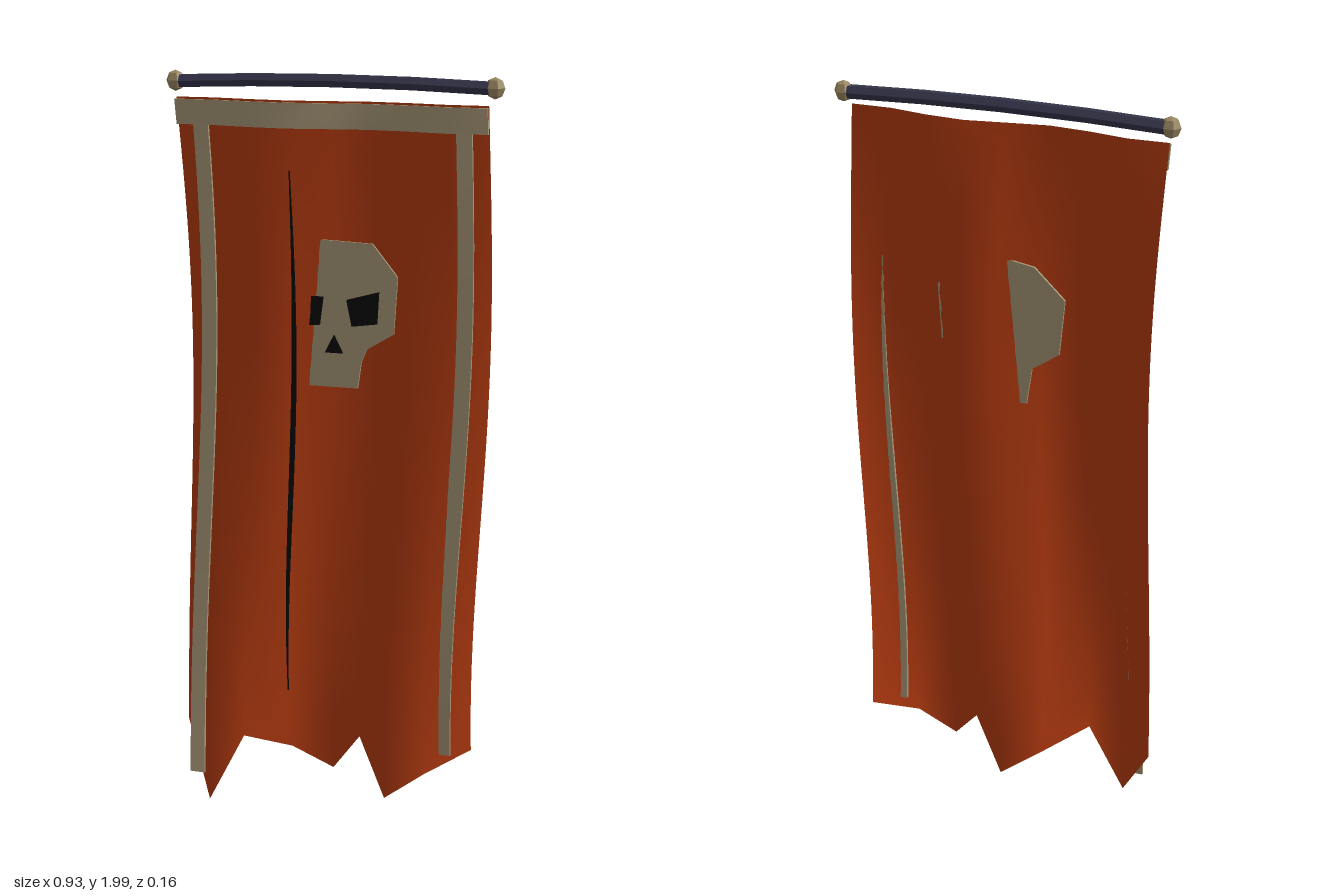
import * as THREE from 'three';

const COLS = 8;
const TOP = 1.93;
// Height of the ragged hem at each column
const HEM = [0.2, 0.01, 0.2, 0.15, 0.085, 0.21, 0.08, 0.15, 0.2];

const mat = (name, color, side = THREE.FrontSide) => {
  const m = new THREE.MeshStandardMaterial({ color, side });
  m.name = name;
  return m;
};

// Sideways sway of the cloth; u runs 0..8 from the model's right to its left
function clothX(u, y) {
  const half = 0.409 + 0.0135 * y;
  const sway = 0.019 * Math.sin((2 * Math.PI * (TOP - y)) / 2.2);
  return sway + half * (u / 4 - 1);
}

// Folds deepen and drift sideways toward the hem
function foldZ(x, y) {
  const depth = 0.018 + 0.036 * (TOP - y);
  const valley = -0.045 + 0.09 * y;
  return -depth * Math.cos((2 * Math.PI * (x - valley)) / 0.5);
}

// Depth of the cloth between two neighbouring columns
function clothZ(u, y) {
  const i = Math.min(COLS - 1, Math.max(0, Math.floor(u)));
  return THREE.MathUtils.lerp(foldZ(clothX(i, y), y), foldZ(clothX(i + 1, y), y), u - i);
}

// Move every vertex of a geometry by a rule
function reshape(geo, rule) {
  const p = geo.attributes.position;
  for (let i = 0; i < p.count; i++) p.setXYZ(i, ...rule(p.getX(i), p.getY(i), p.getZ(i)));
  geo.computeVertexNormals();
  return geo;
}

// Vertical strip hanging along one column line of the cloth
function hangingStrip(u, yTop, yBottom, width, offset, thickness) {
  return reshape(new THREE.BoxGeometry(1, 1, thickness, 1, 28, 1), (x, v, z) => {
    const t = 0.5 - v;
    const y = THREE.MathUtils.lerp(yTop, yBottom, t);
    return [clothX(u, y) + x * width(t), y, clothZ(u, y) + offset(t) + z];
  });
}

// Flat plate cut from an outline
function plate(points, z, depth) {
  const shape = new THREE.Shape(points.map(([x, y]) => new THREE.Vector2(x, y)));
  const geo = new THREE.ExtrudeGeometry(shape, { depth, bevelEnabled: false });
  return geo.translate(0, 0, z);
}

export function createModel() {
  const group = new THREE.Group();
  const red = mat('red cloth', 0xb33a10, THREE.DoubleSide);
  const bone = mat('bone trim', 0xa59576);
  const black = mat('black', 0x0a0a0a);
  const iron = mat('dark iron', 0x34344a);
  const brass = mat('dull brass', 0x98855f);

  const add = (name, geo, material) => {
    const mesh = new THREE.Mesh(geo, material);
    mesh.name = name;
    group.add(mesh);
    return mesh;
  };

  // Hanging cloth with a ragged hem
  add('cloth', reshape(new THREE.PlaneGeometry(COLS, 1, COLS, 28), (x, v) => {
    const u = x + COLS / 2;
    const y = THREE.MathUtils.lerp(TOP, HEM[Math.round(u)], 0.5 - v);
    return [clothX(u, y), y, clothZ(u, y)];
  }), red);

  // Trim: band along the top and a stripe down each side
  add('topBand', reshape(new THREE.BoxGeometry(COLS, 0.066, 0.008, COLS, 1, 1), (x, v, z) => {
    const u = x + COLS / 2;
    const y = 1.892 + v;
    return [clothX(u, y), y, clothZ(u, y) + 0.011 + z];
  }), bone);
  add('rightStripe', hangingStrip(0.63, 1.87, 0.08, () => 0.042, (t) => 0.01 + 0.015 * t, 0.008), bone);
  add('leftStripe', hangingStrip(7.42, 1.87, 0.2, () => 0.042, (t) => 0.01 - 0.004 * t, 0.008), bone);

  // Narrow dark line along a fold
  add('foldLine', hangingStrip(3, 1.75, 0.32,
    (t) => 0.002 + 0.012 * Math.sin(Math.PI * t), () => 0.008, 0.004), black);

  // Skull emblem, half sunk in the folds
  add('skull', plate([
    [-0.08, 1.56], [-0.165, 1.48], [-0.15, 1.33], [-0.075, 1.28], [-0.06, 1.18],
    [0.08, 1.18], [0.09, 1.25], [0.105, 1.285], [0.18, 1.33], [0.19, 1.48], [0.12, 1.565], [-0.02, 1.57],
  ], -0.009, 0.007), bone);
  const face = [
    ['leftEye', [[0.05, 1.415], [0.065, 1.345], [0.135, 1.355], [0.14, 1.44]]],
    ['rightEye', [[-0.015, 1.42], [-0.1, 1.42], [-0.1, 1.34], [-0.025, 1.345]]],
    ['nose', [[0.015, 1.32], [-0.01, 1.272], [0.04, 1.272]]],
  ];
  for (const [name, points] of face) add(name, plate(points, -0.003, 0.006), black);

  // Six-sided rod, bowed slightly upward
  const rod = new THREE.CylinderGeometry(0.019, 0.019, 0.88, 6, 4).rotateZ(Math.PI / 2);
  const rodMat = iron.clone();
  rodMat.name = 'dark iron rod';
  rodMat.flatShading = true;
  add('rod', reshape(rod, (x, y, z) => [x, y + 1.971 + 0.01 * (1 - (x / 0.44) ** 2), z - 0.021]), rodMat);

  // Faceted knobs on both ends
  brass.flatShading = true;
  for (const side of [-1, 1]) {
    const knob = add(side > 0 ? 'leftKnob' : 'rightKnob', new THREE.SphereGeometry(0.028, 6, 4), brass);
    knob.scale.set(0.95, 1, 0.85);
    knob.position.set(side * 0.44, 1.972, -0.021);
  }

  return group;
}
